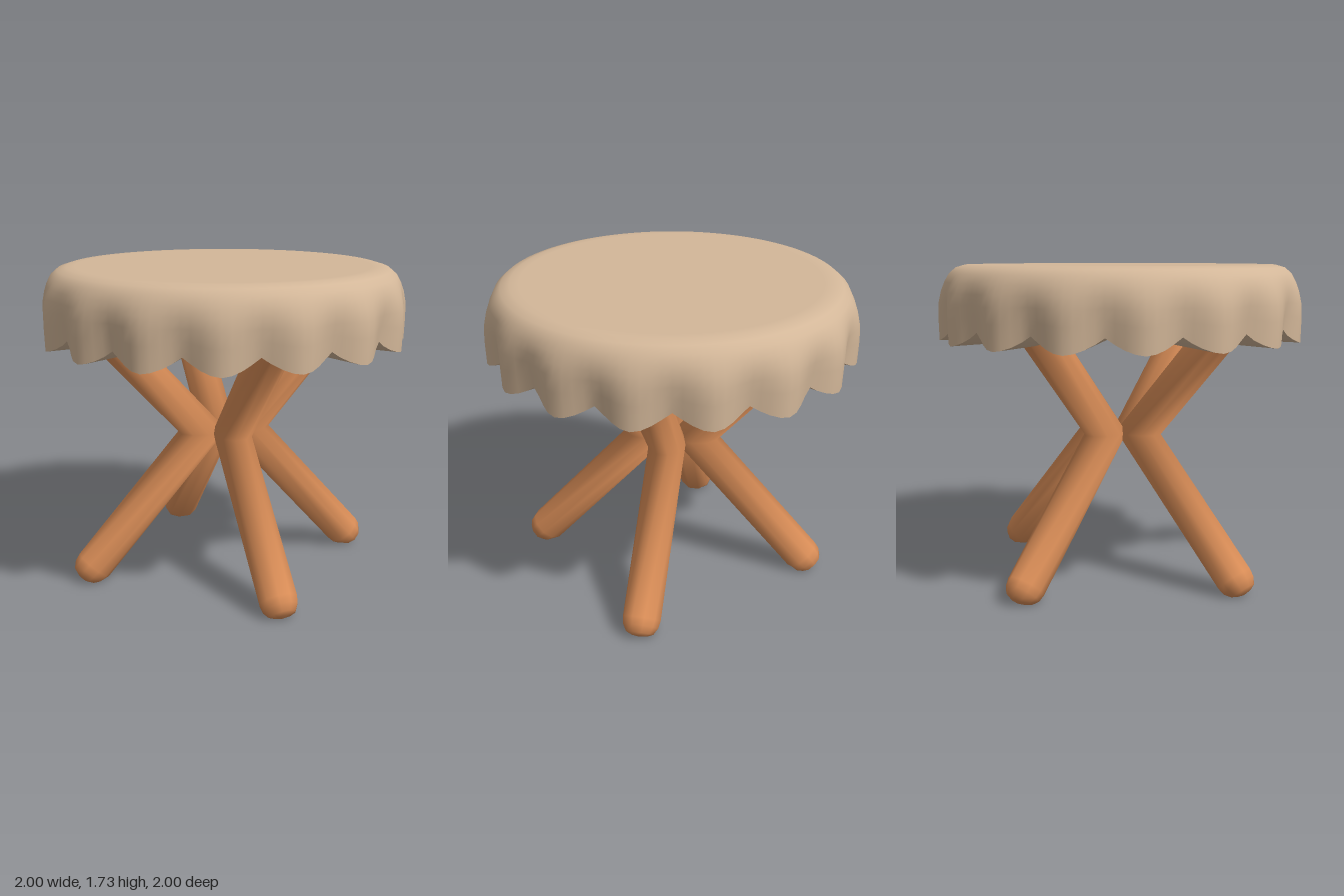
import * as THREE from 'three';

// Skin a list of closed rings (top to bottom), optionally closing the ends with fans
function loft(rings, topCentre, bottomCentre) {
  const n = rings[0].length, pos = [], idx = [];
  rings.forEach(r => r.forEach(p => pos.push(...p)));
  for (let j = 0; j < rings.length - 1; j++) {
    for (let i = 0; i < n; i++) {
      const a = j * n + i, b = j * n + (i + 1) % n;
      idx.push(a, a + n, b, b, a + n, b + n);
    }
  }
  if (topCentre) {
    const c = pos.length / 3;
    pos.push(...topCentre);
    for (let i = 0; i < n; i++) idx.push(c, i, (i + 1) % n);
  }
  if (bottomCentre) {
    const c = pos.length / 3, o = (rings.length - 1) * n;
    pos.push(...bottomCentre);
    for (let i = 0; i < n; i++) idx.push(c, o + (i + 1) % n, o + i);
  }
  const g = new THREE.BufferGeometry();
  g.setAttribute('position', new THREE.Float32BufferAttribute(pos, 3));
  g.setIndex(idx);
  g.computeVertexNormals();
  return g;
}

export function createModel() {
  const fabric = new THREE.MeshStandardMaterial({ color: 0xd3b799 });
  fabric.name = 'beige fabric';
  const wood = new THREE.MeshStandardMaterial({ color: 0xd98d57 });
  wood.name = 'orange wood';
  const group = new THREE.Group();
  const add = (name, geometry, material) => {
    const mesh = new THREE.Mesh(geometry, material);
    mesh.name = name;
    group.add(mesh);
    return mesh;
  };

  // Cushion cover: rounded profile whose skirt gathers into 16 scallops
  const scallops = 16, perScallop = 8, count = scallops * perScallop;
  // radius, height, pleat depth, hem lift
  const profile = [
    [0.8, 1.73, 0, 0], [0.85, 1.73, 0, 0], [0.9, 1.715, 0, 0], [0.935, 1.685, 0, 0],
    [0.962, 1.64, 0.1, 0], [0.982, 1.59, 0.3, 0], [0.996, 1.53, 0.6, 0.1],
    [1, 1.45, 0.85, 0.4], [0.997, 1.32, 1, 1],
  ];
  const rings = profile.map(([r, y, pleat, lift]) => {
    const ring = [];
    for (let i = 0; i < count; i++) {
      const a = i / count * Math.PI * 2;
      const s = i / perScallop;
      const t = Math.abs(s - Math.round(s)) * 2; // 0 on a fold, 1 in a notch
      const rr = r - 0.055 * pleat * (1 - Math.cos(Math.PI * t)) / 2;
      ring.push([rr * Math.sin(a), y + 0.08 * lift * t ** 1.7, rr * Math.cos(a)]);
    }
    return ring;
  });
  add('cushion', loft(rings, [0, 1.73, 0], null), fabric);

  // Pleated underside running from the hem to the middle
  const under = loft([rings[rings.length - 1]], null, [0, 1.345, 0]).toNonIndexed();
  under.computeVertexNormals();
  add('cushionUnderside', under, fabric);

  // Bent leg in the y-z plane, mirrored about the bend, with a domed foot
  const out = 0.67, up = 0.743, radius = 0.104, sides = 10, bend = 0.8;
  // distance out, height, ring tilt (1 upper, 0 bend, -1 lower), ring scale
  const stations = [
    [0.8, 1.54, 1, 1], [0.13, bend, 0, 1], [0.78, 0.08, -1, 1],
    [0.808, 0.05, -1, 0.93], [0.832, 0.022, -1, 0.72], [0.842, 0.012, -1, 0.4],
  ];
  const legRings = stations.map(([z, y, tilt, scale]) => {
    const ring = [];
    const vz = tilt ? up : 1 / up, vy = -tilt * out;
    for (let i = 0; i < sides; i++) {
      const a = (i + 0.5) / sides * Math.PI * 2, r = radius * scale;
      const v = r * Math.cos(a);
      ring.push([r * Math.sin(a), Math.max(0, y + v * vy), z + v * vz]);
    }
    return ring;
  });
  const legGeometry = loft(legRings, [0, 1.54, 0.8], [0, 0.005, 0.842]);
  ['frontLeg', 'leftLeg', 'backLeg', 'rightLeg'].forEach((name, i) => {
    add(name, legGeometry, wood).rotation.y = 0.379 + i * Math.PI / 2;
  });
  return group;
}
